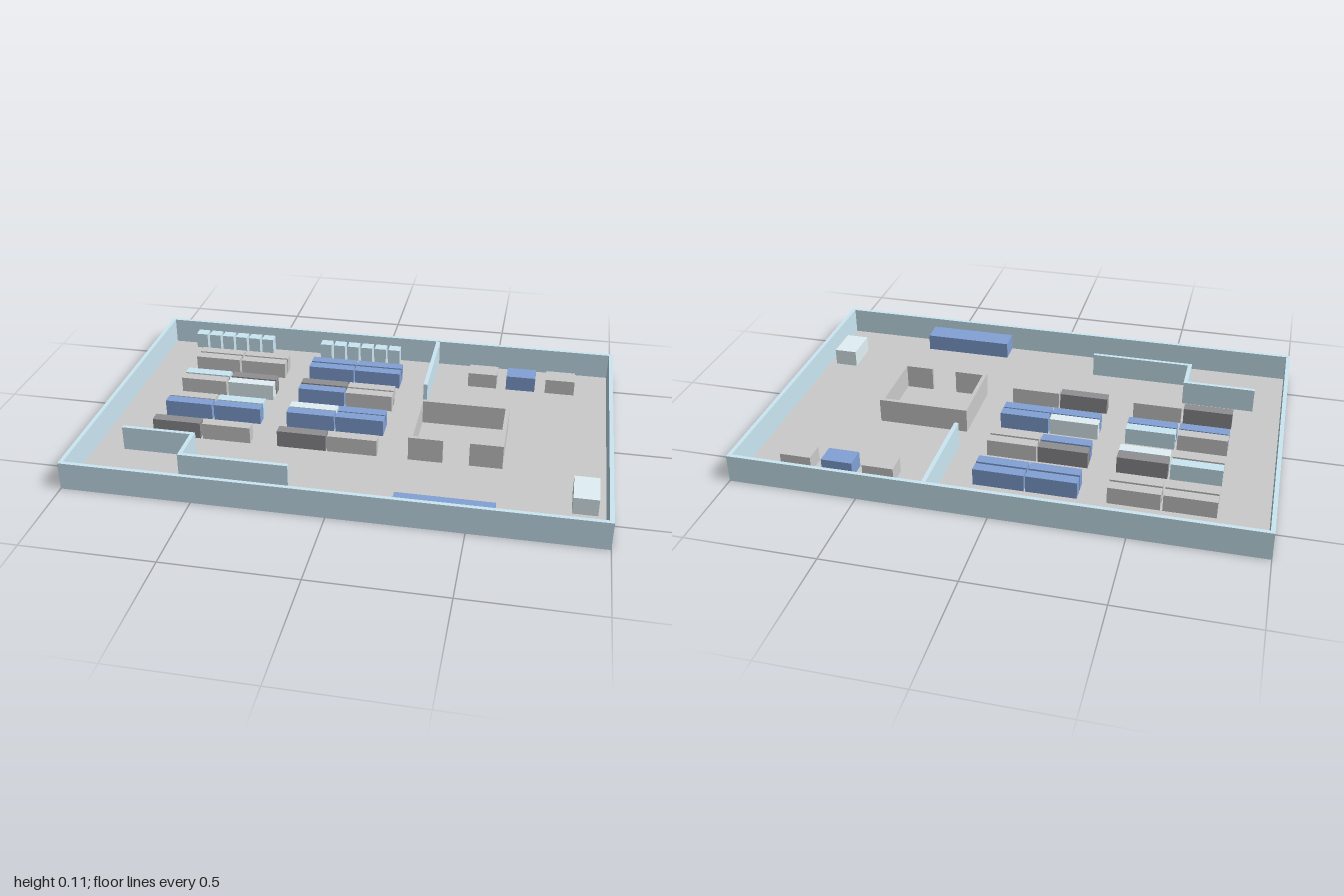
import * as THREE from 'three';

const material = (color) => new THREE.MeshStandardMaterial({ color });
const MATS = {
  grey: material(0xcccccc),
  dark: material(0x909094),
  pale: material(0xcce8f4),
  white: material(0xe2f1f6),
  blue: material(0x82a2d6),
};
const FLOOR = 0.002;

// Box given by its plan rectangle, standing on the floor
function block(name, x0, x1, z0, z1, height, mat, y0 = FLOOR) {
  const mesh = new THREE.Mesh(new THREE.BoxGeometry(x1 - x0, height - y0, z1 - z0), MATS[mat]);
  mesh.position.set((x0 + x1) / 2, (height + y0) / 2, (z0 + z1) / 2);
  mesh.name = name;
  return mesh;
}

// Plan outline of [x, z] corners raised to a height, with an optional hole
function wall(name, outline, height, mat, hole, y0 = FLOOR) {
  const toPoints = (list) => list.map(([x, z]) => new THREE.Vector2(x, -z));
  const shape = new THREE.Shape(toPoints(outline));
  // The hole runs the opposite way round so its sides face inwards
  if (hole) shape.holes.push(new THREE.Path(toPoints(hole).reverse()));
  const geo = new THREE.ExtrudeGeometry(shape, { depth: height - y0, bevelEnabled: false });
  geo.rotateX(-Math.PI / 2).translate(0, y0, 0);
  const mesh = new THREE.Mesh(geo, MATS[mat]);
  mesh.name = name;
  return mesh;
}

const rect = (x, z) => [[-x, -z], [x, -z], [x, z], [-x, z]];

export function createModel() {
  const model = new THREE.Group();
  model.name = 'storeFloorPlan';

  // Floor slab and outer walls
  model.add(block('floor', -0.984, 0.984, -0.627, 0.627, FLOOR, 'grey', 0));
  model.add(wall('outerWalls', rect(1, 0.643), 0.11, 'pale', rect(0.984, 0.627), 0));

  // Inner partitions
  model.add(block('backPartition', 0.231, 0.247, -0.627, -0.216, 0.109, 'pale'));
  model.add(wall('steppedPartition', [
    [-0.871, 0.32], [-0.58, 0.32], [-0.58, 0.472], [-0.173, 0.472],
    [-0.173, 0.488], [-0.596, 0.488], [-0.596, 0.336], [-0.871, 0.336],
  ], 0.1, 'pale'));

  // Small room with a doorway at the front
  model.add(wall('roomWalls', [
    [0.231, -0.107], [0.595, -0.107], [0.595, 0.203], [0.467, 0.203], [0.467, 0.187], [0.579, 0.187],
    [0.579, -0.091], [0.247, -0.091], [0.247, 0.187], [0.365, 0.187], [0.365, 0.203], [0.231, 0.203],
  ], 0.1, 'grey'));

  // Shelf rows: four units in each row
  const shelves = new THREE.Group();
  shelves.name = 'shelves';
  const columns = [-0.797, -0.593, -0.288, -0.087];
  const rows = [
    [-0.455, ['grey', 'grey', 'blue', 'blue']],
    [-0.402, ['grey', 'grey', 'blue', 'blue']],
    [-0.251, ['pale', 'dark', 'dark', 'grey']],
    [-0.198, ['grey', 'white', 'blue', 'grey']],
    [-0.043, ['grey', 'pale', 'white', 'blue']],
    [0.006, ['blue', 'blue', 'blue', 'blue']],
    [0.16, ['dark', 'grey', 'dark', 'grey']],
  ];
  for (const [z, mats] of rows) {
    mats.forEach((mat, i) => {
      const x = columns[i];
      shelves.add(block('shelf', x, x + 0.195, z, z + 0.043, 0.07, mat));
    });
  }
  model.add(shelves);

  // Two banks of cabinets along the back wall
  const cabinets = new THREE.Group();
  cabinets.name = 'cabinets';
  for (const start of [-0.871, -0.288]) {
    for (let i = 0; i < 6; i++) {
      const x = start + i * 0.062;
      cabinets.add(block('cabinet', x, x + 0.051, -0.627, -0.581, 0.07, 'pale'));
    }
  }
  model.add(cabinets);

  // Display tables, front counter and side stand
  [['grey', 0.396], ['blue', 0.559], ['grey', 0.725]].forEach(([mat, x]) => {
    model.add(block('displayTable', x, x + 0.122, -0.519, -0.437, 0.065, mat));
  });
  model.add(block('counter', 0.231, 0.595, 0.535, 0.627, 0.07, 'blue'));
  model.add(block('sideStand', 0.862, 0.955, 0.305, 0.452, 0.07, 'white'));

  return model;
}
